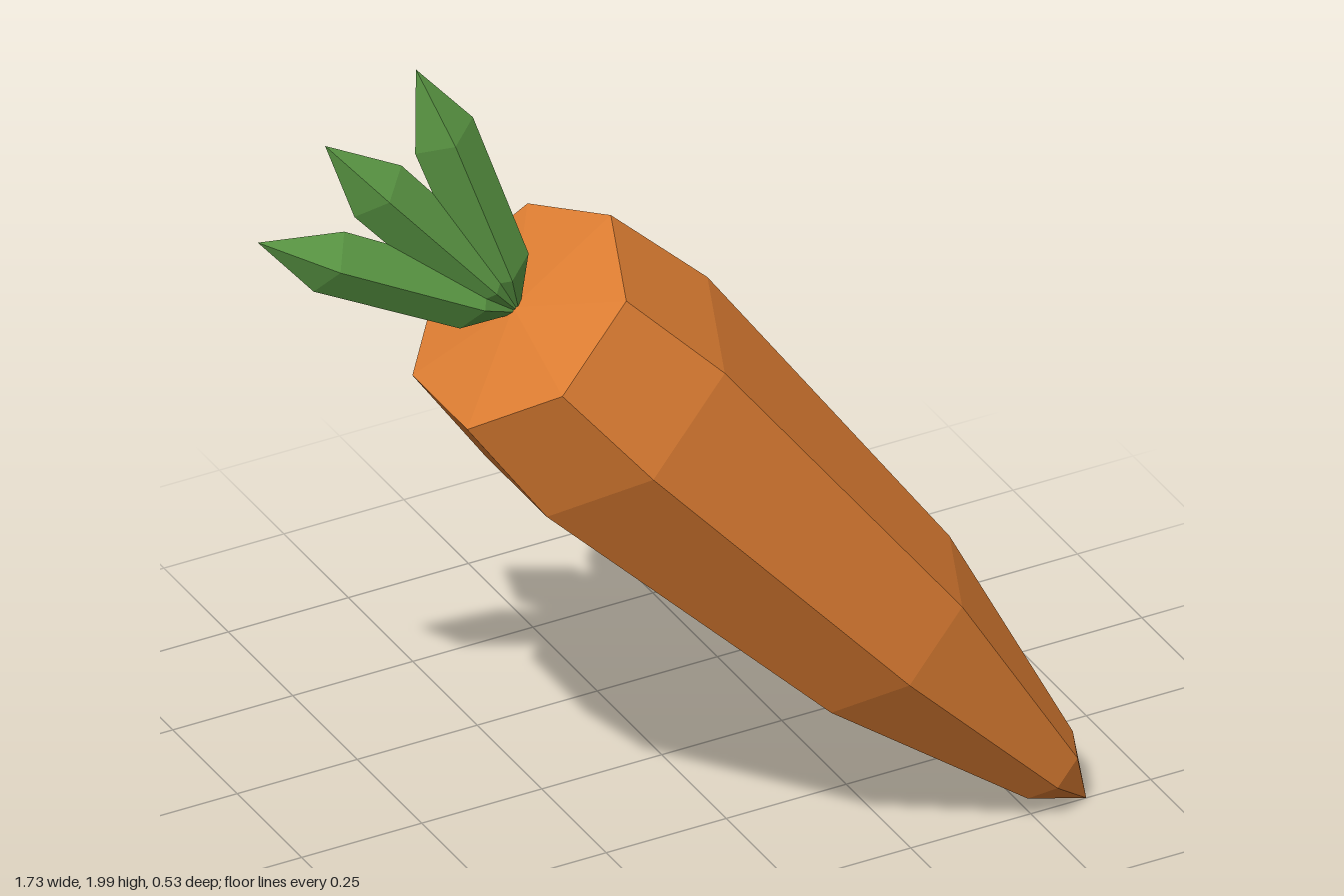
import * as THREE from 'three';

// Faceted solid of revolution from [radius, height] pairs, listed bottom to top
function facetedLathe(profile, sides, color, name) {
  const points = profile.map(([r, y]) => new THREE.Vector2(r, y));
  const material = new THREE.MeshStandardMaterial({ color, flatShading: true });
  const mesh = new THREE.Mesh(new THREE.LatheGeometry(points, sides), material);
  mesh.name = name;
  return mesh;
}

export function createModel() {
  const model = new THREE.Group();
  model.name = 'carrot';

  // Everything shares one leaning axis; the origin is the centre of the crown
  const tilted = new THREE.Group();
  tilted.name = 'tiltedCarrot';
  tilted.position.set(-0.312, 1.402, 0);
  tilted.rotation.z = 0.7;
  model.add(tilted);

  // Seven-sided root, tapering to a short tip, with a slightly domed crown
  const root = facetedLathe([
    [0, -1.828], [0.077, -1.693], [0.202, -1.146],
    [0.274, -0.278], [0.245, 0], [0, 0.025],
  ], 7, 0xe07f33, 'root');
  root.geometry.rotateY(Math.PI / 2);
  tilted.add(root);

  // Three diamond-section leaves fanned out from the crown
  for (const angle of [-0.35, 0, 0.35]) {
    const leaf = facetedLathe([
      [0, 0], [0.06, 0.108], [0.064, 0.457], [0, 0.628],
    ], 4, 0x5c9a45, 'leaf');
    leaf.geometry.scale(1, 1, 0.7);
    leaf.position.set(0, 0.005, 0);
    leaf.rotation.z = angle;
    tilted.add(leaf);
  }

  return model;
}
